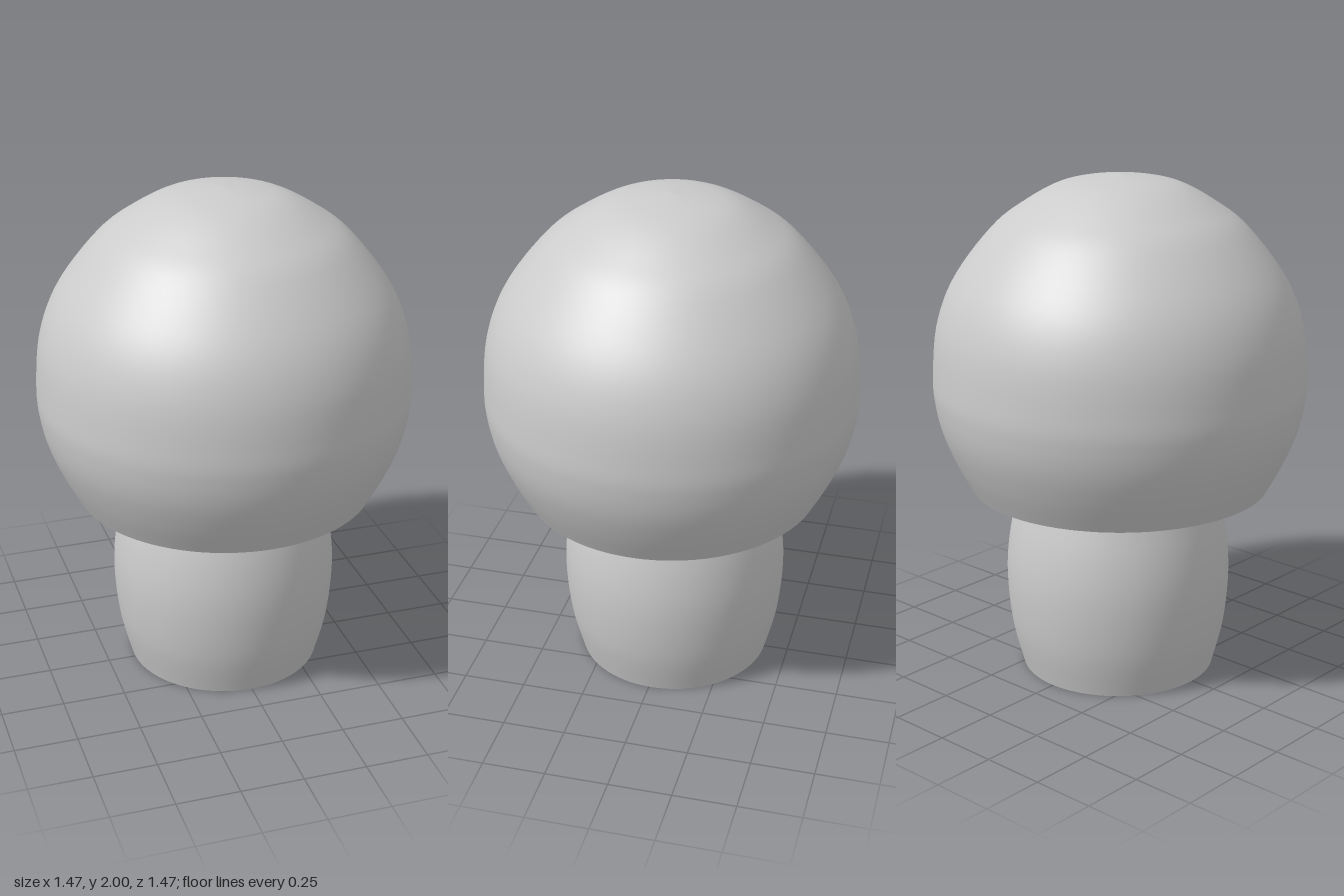
import * as THREE from 'three';

const material = new THREE.MeshStandardMaterial({ color: 0xcccccc, side: THREE.DoubleSide });

// Smooth open shell of revolution from a few [radius, height] points, bottom to top
function shell(name, profile, steps) {
  const curve = new THREE.SplineCurve(profile.map(([r, y]) => new THREE.Vector2(r, y)));
  const points = curve.getPoints(steps);
  points.forEach((p) => { p.x = Math.max(p.x, 0); });
  const mesh = new THREE.Mesh(new THREE.LatheGeometry(points, 96), material);
  mesh.name = name;
  return mesh;
}

export function createModel() {
  const group = new THREE.Group();
  group.name = 'mushroom';

  // Hollow domed cap, open underneath
  const cap = shell('cap', [
    [0.595, 0.765], [0.655, 0.88], [0.704, 1.0], [0.729, 1.11], [0.735, 1.22], [0.715, 1.42],
    [0.645, 1.6], [0.5, 1.79], [0.38, 1.885], [0.25, 1.958], [0.13, 1.987], [0, 2],
  ], 60);

  // Bulging hollow stem that rises inside the cap, set slightly back
  const stem = shell('stem', [
    [0.388, 0], [0.432, 0.18], [0.45, 0.39], [0.435, 0.57],
    [0.39, 0.77], [0.364, 0.92], [0.362, 1.1], [0.37, 1.25],
  ], 40);
  stem.position.z = -0.012;

  group.add(cap, stem);
  return group;
}
